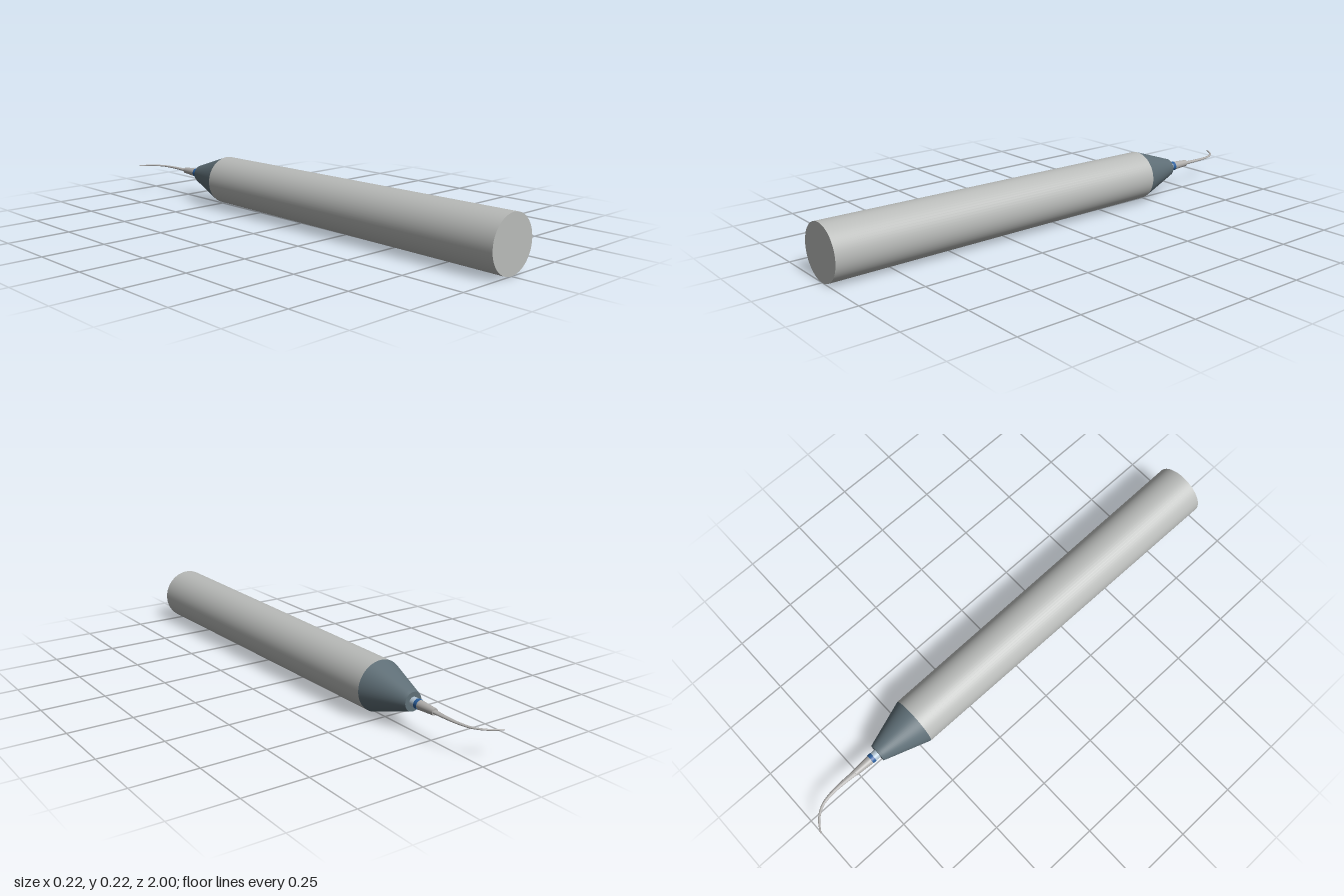
import * as THREE from 'three';

const AXIS_Y = 0.109;

const material = (name, color) => {
  const m = new THREE.MeshStandardMaterial({ color });
  m.name = name;
  return m;
};

export function createModel() {
  const group = new THREE.Group();
  const grey = material('handleGrey', 0xb9bbb9);
  const slate = material('noseSlate', 0x5f6f77);
  const blue = material('bandBlue', 0x2a5f9e);
  const pale = material('collarPale', 0xb4c6d4);
  const steel = material('tipSteel', 0xb0aeac);

  // Round section along the long axis, from z0 (rear) to z1 (tip side)
  const section = (name, z0, r0, z1, r1, mat) => {
    const geo = new THREE.CylinderGeometry(r1, r0, z0 - z1, 64);
    geo.rotateX(-Math.PI / 2);
    const mesh = new THREE.Mesh(geo, mat);
    mesh.name = name;
    mesh.position.set(0, AXIS_Y, (z0 + z1) / 2);
    group.add(mesh);
  };

  section('handle', 1, 0.108, -0.467, 0.098, grey);
  section('noseCone', -0.467, 0.098, -0.64, 0.04, slate);
  section('noseRim', -0.64, 0.04, -0.651, 0.036, slate);
  section('collar', -0.651, 0.018, -0.672, 0.018, pale);
  section('colourBand', -0.672, 0.019, -0.687, 0.019, blue);
  section('tipSleeve', -0.687, 0.018, -0.763, 0.013, steel);

  // Curved working tip: flattened, tapering oval swept along a hook
  const path = new THREE.CatmullRomCurve3([
    [0, -0.755], [0.002, -0.82], [0, -0.875], [-0.010, -0.925],
    [-0.030, -0.958], [-0.055, -0.981], [-0.085, -0.999],
  ].map(([x, z]) => new THREE.Vector3(x, AXIS_Y, z)));
  const rings = 40, sides = 12;
  const tip = new THREE.TubeGeometry(path, rings, 1, sides, false);
  const pos = tip.attributes.position;
  const v = new THREE.Vector3();
  for (let i = 0; i <= rings; i++) {
    const t = i / rings;
    const centre = path.getPointAt(t);
    const wide = THREE.MathUtils.lerp(0.0125, 0.003, Math.pow(t, 0.7));
    const thick = THREE.MathUtils.lerp(0.007, 0.0025, Math.pow(t, 0.6));
    for (let j = 0; j <= sides; j++) {
      const k = i * (sides + 1) + j;
      v.fromBufferAttribute(pos, k).sub(centre);
      v.set(v.x * wide, v.y * thick, v.z * wide).add(centre);
      pos.setXYZ(k, v.x, v.y, v.z);
    }
  }
  tip.computeVertexNormals();
  const tipMesh = new THREE.Mesh(tip, steel);
  tipMesh.name = 'hookedTip';
  group.add(tipMesh);

  // Rounded end of the hook
  const end = new THREE.Mesh(new THREE.SphereGeometry(0.0028, 10, 8), steel);
  end.name = 'tipEnd';
  end.position.copy(path.getPointAt(1));
  group.add(end);

  return group;
}
